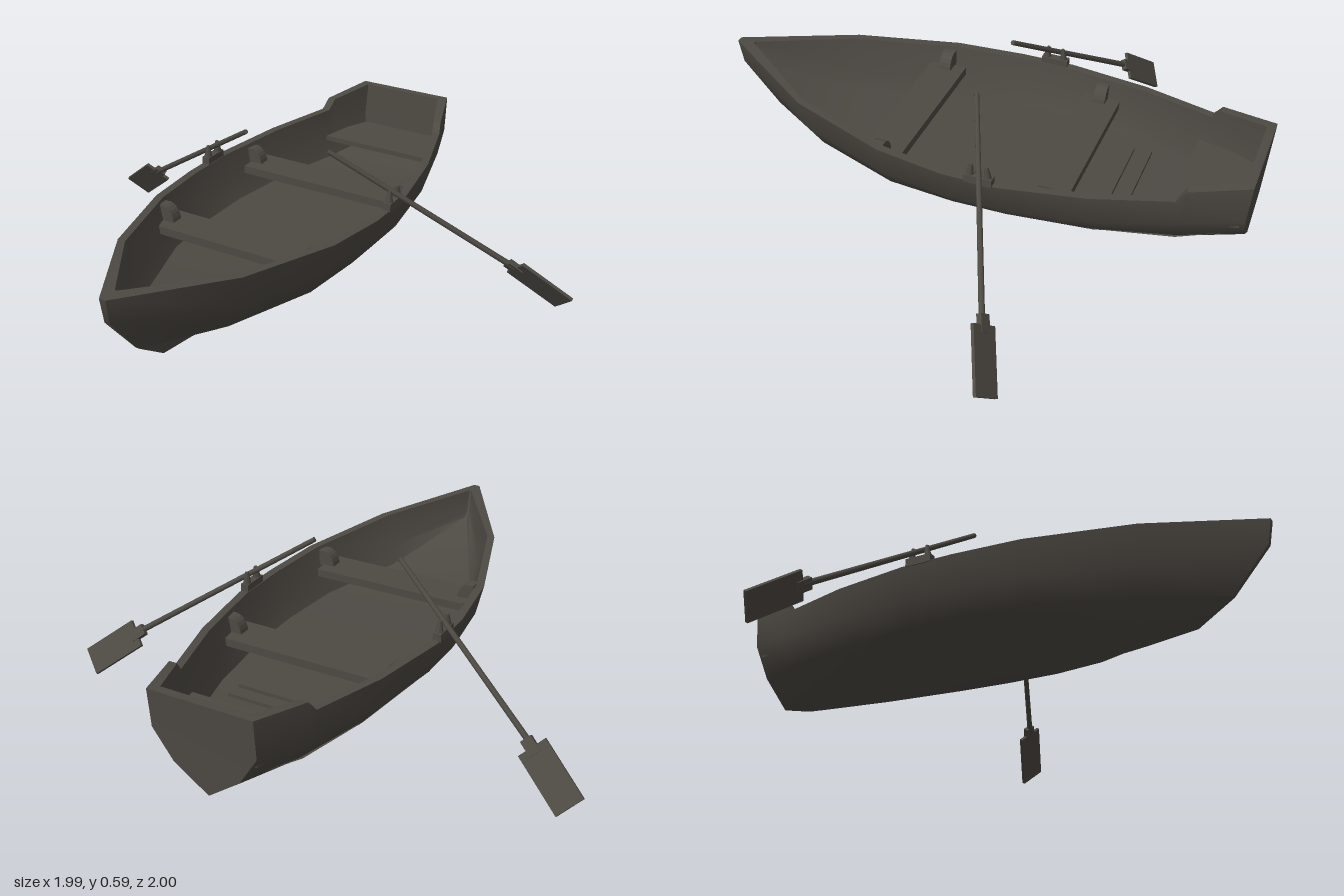
import * as THREE from 'three';
import { toCreasedNormals } from 'three/addons/utils/BufferGeometryUtils.js';

const wood = new THREE.MeshStandardMaterial({ color: 0x4d4943 });
wood.name = 'weathered wood';

// Long lines of the hull from stern to bow, each point [z, half width, y]
const GUNWALE = [[-1, .19, .47], [-.8, .255, .445], [-.77, .265, .405], [-.5, .345, .395], [-.2, .395, .387],
  [0, .395, .387], [.25, .365, .395], [.62, .245, .415], [1, .012, .45]];
const TOPSIDE = [[-.99, .19, .33], [-.8, .25, .31], [-.77, .257, .305], [-.5, .325, .28], [-.2, .365, .27],
  [0, .365, .27], [.25, .335, .275], [.61, .215, .29], [.985, .01, .36]];
const CHINE = [[-.985, .12, .22], [-.8, .19, .21], [-.77, .2, .21], [-.5, .265, .2], [-.2, .3, .2],
  [0, .3, .195], [.25, .275, .19], [.58, .16, .19], [.85, .008, .2]];
const KEEL = [[-.98, 0, .13], [-.86, 0, .103], [-.77, 0, .096], [-.5, 0, .077], [-.2, 0, .062],
  [0, 0, .055], [.2, 0, .053], [.52, 0, .085], [.72, 0, .11]];
const FLOOR = [[-.955, .14, .235], [-.8, .2, .215], [-.77, .21, .21], [-.5, .275, .21], [-.2, .31, .21],
  [0, .31, .21], [.25, .285, .21], [.57, .17, .225], [.9, .005, .34]];

// Inner skin line: moved inward, and away from both ends
const inset = (line, d) => line.map(([z, x, y], i) => [
  z + (i === 0 ? .03 : i === line.length - 1 ? -.065 : 0), Math.max(x - d, .004), y]);

function mesh(name, geometry, parent, x = 0, y = 0, z = 0) {
  const m = new THREE.Mesh(geometry, wood);
  m.name = name;
  m.position.set(x, y, z);
  parent.add(m);
  return m;
}

// Closed rings of outer skin, rim and inner skin, joined along the boat
function hullGeometry() {
  const half = [CHINE, TOPSIDE, GUNWALE, inset(GUNWALE, .03), inset(TOPSIDE, .025), FLOOR];
  const N = 14, pos = [], idx = [], last = GUNWALE.length - 1;
  for (let j = 0; j <= last; j++) {
    const right = half.map(l => [l[j][1], l[j][2], l[j][0]]);
    const left = right.map(([x, y, z]) => [-x, y, z]).reverse();
    const ring = [[0, KEEL[j][2], KEEL[j][0]], ...right, [0, FLOOR[j][2], FLOOR[j][0]], ...left];
    ring.forEach(p => pos.push(...p));
  }
  const quad = (a, b, c, d) => idx.push(a, b, c, a, c, d);
  for (let j = 0; j < last; j++) {
    for (let i = 0; i < N; i++) {
      const k = (i + 1) % N;
      quad(j * N + i, j * N + k, (j + 1) * N + k, (j + 1) * N + i);
    }
  }
  // Transom and stem
  for (let i = 0; i < 7; i++) {
    const q = [i, i + 1, N - i - 1, (N - i) % N];
    const b = q.map(v => v + last * N);
    if (i === 0) idx.push(q[0], q[2], q[1], b[0], b[1], b[2]);
    else if (i === 6) idx.push(q[0], q[3], q[1], b[0], b[1], b[3]);
    else { quad(q[3], q[2], q[1], q[0]); quad(...b); }
  }
  const g = new THREE.BufferGeometry();
  g.setAttribute('position', new THREE.Float32BufferAttribute(pos, 3));
  g.setIndex(idx);
  return toCreasedNormals(g, .75);
}

// Rounded bracket between seat and side
function kneeGeometry() {
  const s = new THREE.Shape();
  s.moveTo(.035, 0);
  s.lineTo(-.03, 0);
  s.quadraticCurveTo(-.025, .05, .01, .06);
  s.lineTo(.035, .06);
  const g = new THREE.ExtrudeGeometry(s, { depth: .045, bevelEnabled: false, curveSegments: 5 });
  return g.translate(0, 0, -.0225);
}

// Stern bench, wider towards the bow
function benchGeometry() {
  const s = new THREE.Shape([[-.175, .97], [.175, .97], [.225, .735], [-.225, .735]]
    .map(([x, y]) => new THREE.Vector2(x, y)));
  return new THREE.ExtrudeGeometry(s, { depth: .02, bevelEnabled: false }).rotateX(-Math.PI / 2);
}

// Oar on the side given by the sign of x
function buildOar(side, parent) {
  const oar = new THREE.Group();
  oar.name = side > 0 ? 'leftOar' : 'rightOar';
  parent.add(oar);
  const v = (x, y, z) => new THREE.Vector3(x * side, y, z);
  const grip = v(.17, .58, -.04), neckEnd = v(.79, .17, -.31);
  const along = neckEnd.clone().sub(grip);
  const length = along.length();
  along.normalize();
  const shaft = mesh('oarShaft', new THREE.CylinderGeometry(.011, .009, length, 8), oar);
  shaft.position.copy(grip).lerp(neckEnd, .5);
  shaft.quaternion.setFromUnitVectors(new THREE.Vector3(0, 1, 0), along);

  const across = v(.105, .05, .034);
  const down = v(.17, -.133, -.077).normalize();
  across.addScaledVector(down, -across.dot(down)).normalize();
  const normal = new THREE.Vector3().crossVectors(across, down);
  const turn = new THREE.Matrix4().makeBasis(across, down, normal);
  const blade = mesh('oarBlade', new THREE.BoxGeometry(.108, .225, .012), oar);
  blade.position.copy(v(.873, .104, -.351));
  blade.quaternion.setFromRotationMatrix(turn);
  const neck = mesh('oarNeck', new THREE.BoxGeometry(.042, .06, .02), oar);
  neck.position.copy(v(.785, .17, -.312));
  neck.quaternion.copy(blade.quaternion);
}

export function createModel() {
  const boat = new THREE.Group();
  boat.name = 'rowingBoat';
  mesh('hull', hullGeometry(), boat);

  // Seats across the boat, with a knee at each end
  const knee = kneeGeometry();
  for (const [name, z, halfWidth, y, kneeX, kneeZ] of [
    ['rearSeat', -.34, .33, .305, .312, -.34], ['frontSeat', .27, .305, .315, .29, .27]]) {
    mesh(name, new THREE.BoxGeometry(halfWidth * 2, .03, .14), boat, 0, y, z);
    for (const side of [1, -1]) {
      const k = mesh('seatKnee', knee, boat, side * kneeX, y + .01, kneeZ);
      if (side < 0) k.rotation.y = Math.PI;
    }
  }
  const bench = mesh('sternBench', benchGeometry(), boat, 0, .285, 0);
  bench.geometry.scale(1, 1, 1);

  // Foot slats on the floor
  for (const z of [-.5, -.565]) mesh('floorSlat', new THREE.BoxGeometry(.4, .014, .022), boat, 0, .216, z);

  for (const side of [1, -1]) {
    // Oarlock: block on the rim with two prongs
    const lock = new THREE.Group();
    lock.name = 'oarlock';
    lock.position.set(side * .383, .385, -.134);
    boat.add(lock);
    mesh('oarlockBase', new THREE.BoxGeometry(.03, .03, .1), lock, 0, .012, 0);
    for (const end of [1, -1]) {
      const prong = mesh('oarlockProng', new THREE.CylinderGeometry(.007, .016, .05, 6), lock, 0, .043, end * .03);
      prong.rotation.x = end * -.1;
    }
    buildOar(side, boat);
  }
  return boat;
}
